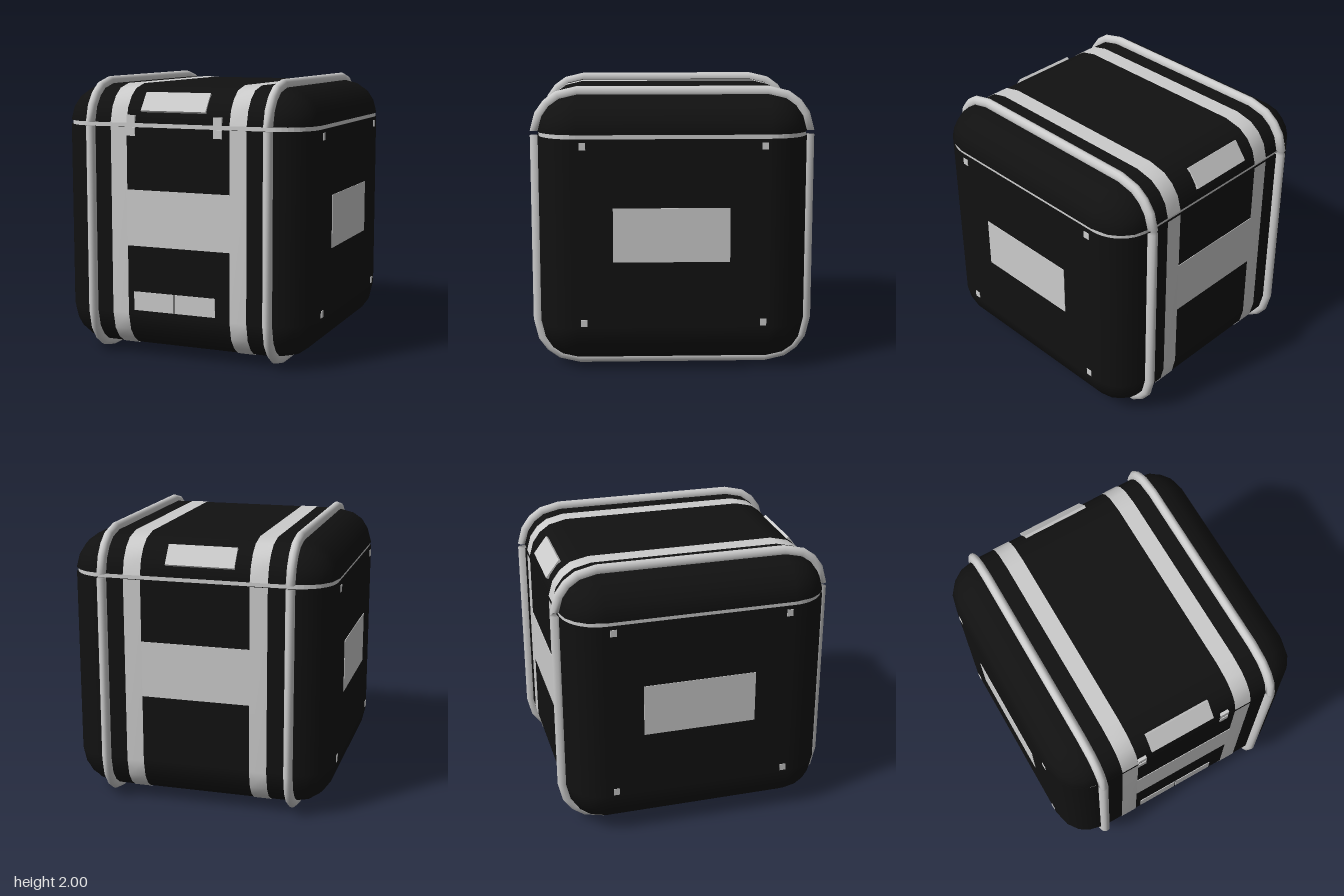
import * as THREE from 'three';
import { RoundedBoxGeometry } from 'three/addons/geometries/RoundedBoxGeometry.js';

const black = new THREE.MeshStandardMaterial({ color: 0x111111 });
const grey = new THREE.MeshStandardMaterial({ color: 0xcccccc });
const greyThin = new THREE.MeshStandardMaterial({ color: 0xcccccc, side: THREE.DoubleSide });

const HALF = 0.95, R = 0.28, CORE = HALF - R;
const BODY_TOP = 1.66, LID_BOTTOM = 1.69;
const ARC = [0, Math.atan(0.5), Math.PI / 4, Math.atan(2), Math.PI / 2];

// Half shell of the rounded cube: everything past the cut is flattened onto it
function shell(clampY) {
  const g = new RoundedBoxGeometry(HALF * 2, HALF * 2, HALF * 2, 2, R);
  g.translate(0, 1, 0);
  const p = g.attributes.position, n = g.attributes.normal;
  for (let i = 0; i < p.count; i++) {
    const y = p.getY(i), cut = clampY(y);
    if (Math.abs(cut - y) > 0.03) n.setXYZ(i, 0, Math.sign(y - cut), 0);
    p.setY(i, cut);
  }
  return g;
}

// Outline in the z-y plane around the body (bottom) or the lid (top)
function outline(isLid) {
  const pts = [];
  const add = (cz, cy, t) => pts.push({ cz, cy, t });
  if (isLid) {
    add(-CORE, LID_BOTTOM, Math.PI);
    ARC.slice(1).forEach(a => add(-CORE, 1 + CORE, Math.PI - a));
    ARC.forEach(a => add(CORE, a === Math.PI / 2 ? LID_BOTTOM : 1 + CORE, Math.PI / 2 - a));
  } else {
    add(CORE, BODY_TOP, 0);
    ARC.forEach(a => add(CORE, 1 - CORE, -a));
    ARC.forEach(a => add(-CORE, 1 - CORE, -Math.PI / 2 - a));
    add(-CORE, BODY_TOP, -Math.PI);
  }
  return pts;
}

// Sweep a profile of [x, outward offset] along an outline
function sweep(path, profile, closed) {
  const pos = [], idx = [], m = profile.length;
  path.forEach(({ cz, cy, t }, i) => {
    for (const [x, u] of profile) {
      pos.push(x, cy + Math.sin(t) * (R + u), cz + Math.cos(t) * (R + u));
    }
    if (i === path.length - 1) return;
    for (let j = 0; j < (closed ? m : m - 1); j++) {
      const a = i * m + j, b = i * m + (j + 1) % m;
      idx.push(a, a + m, b, b, a + m, b + m);
    }
  });
  if (closed) {
    const e = (path.length - 1) * m;
    for (let j = 1; j < m - 1; j++) idx.push(0, j, j + 1, e, e + j + 1, e + j);
  }
  const g = new THREE.BufferGeometry();
  g.setAttribute('position', new THREE.Float32BufferAttribute(pos, 3));
  g.setIndex(idx);
  g.computeVertexNormals();
  return g;
}

export function createModel() {
  const model = new THREE.Group();
  const add = (name, geometry, material, x = 0, y = 0, z = 0) => {
    const mesh = new THREE.Mesh(geometry, material);
    mesh.name = name;
    mesh.position.set(x, y, z);
    model.add(mesh);
    return mesh;
  };
  const box = (name, w, h, d, x, y, z) =>
    add(name, new THREE.BoxGeometry(w, h, d), grey, x, y, z);

  // Case halves
  add('body', shell(y => Math.min(y, BODY_TOP)), black);
  add('lid', shell(y => Math.max(y, LID_BOTTOM)), black);

  // Seam plate filling the gap between the halves
  const s = new THREE.Shape();
  [[1, 1, 0], [-1, 1, 1], [-1, -1, 2], [1, -1, 3]].forEach(([sx, sy, q]) =>
    s.absarc(sx * CORE, sy * CORE, R - 0.012, q * Math.PI / 2, (q + 1) * Math.PI / 2, false));
  const seam = new THREE.ExtrudeGeometry(s, { depth: LID_BOTTOM - BODY_TOP, bevelEnabled: false, curveSegments: 5 });
  add('seam', seam.rotateX(-Math.PI / 2), grey, 0, BODY_TOP, 0);

  // Raised rims and flat straps running around the case
  const rimProfile = Array.from({ length: 12 }, (_, i) => {
    const a = i / 12 * Math.PI * 2;
    return [-0.033 * Math.cos(a), 0.008 + 0.042 * Math.sin(a)];
  });
  const strapProfile = [[-0.0625, 0.004], [0.0625, 0.004]];
  for (const isLid of [false, true]) {
    const part = isLid ? 'lid' : 'body', path = outline(isLid);
    for (const side of [-1, 1]) {
      add(part + 'Rim', sweep(path, rimProfile, true), grey, side * 0.67);
      add(part + 'Strap', sweep(path, strapProfile, false), greyThin, side * 0.452);
    }
  }

  for (const f of [1, -1]) {
    // Cross bar between the straps
    box('crossBar', 0.79, 0.4, 0.02, 0, 1.02, f * 0.944);

    // Sloping plate on the lid edge
    const tilt = Math.atan2(0.095, 0.125);
    const plate = box('lidPlate', 0.49, 0.157, 0.02, -0.035,
      1.8375 - 0.005 * Math.sin(tilt), f * (0.8975 - 0.005 * Math.cos(tilt)));
    plate.rotation.x = -f * tilt;

    // Side panel and its four studs
    box('sidePanel', 0.02, 0.38, 0.81, f * 0.944, 0.995, f * 0.015);
    for (const z of [-0.625, 0.625]) {
      for (const y of [0.37, 1.612]) box('stud', 0.02, 0.05, 0.045, f * 0.944, y, z);
    }
  }

  // Latches across the seam and twin plates on the lower front
  for (const x of [-0.356, 0.302]) {
    box('latchBase', 0.063, 0.06, 0.02, x, 1.63, 0.946);
    box('latchTop', 0.063, 0.055, 0.03, x, 1.7175, 0.941);
  }
  box('frontPlate', 0.308, 0.135, 0.02, -0.191, 0.4225, 0.945);
  box('frontPlate', 0.308, 0.135, 0.02, 0.126, 0.4225, 0.945);
  return model;
}
